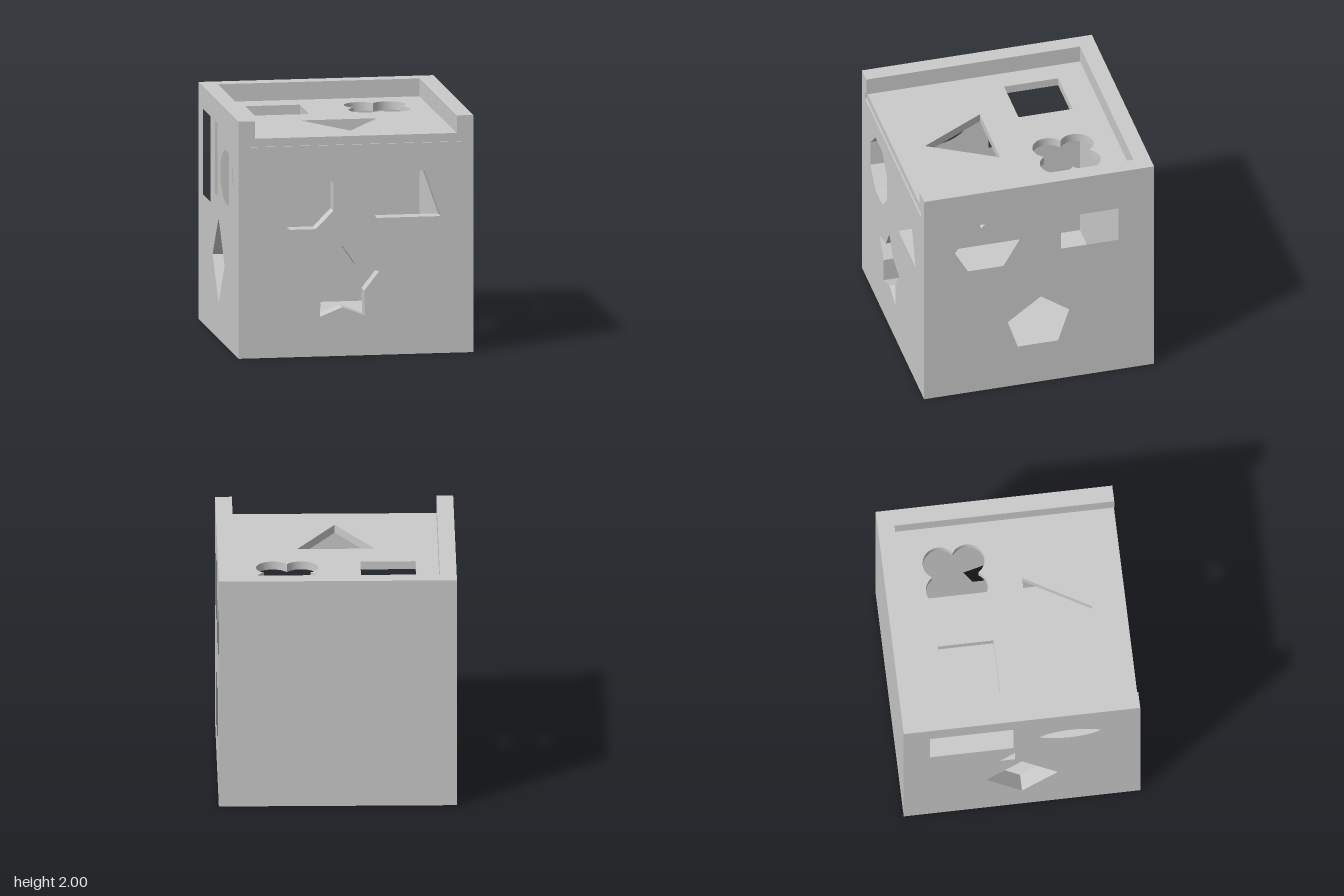
import * as THREE from 'three';
import { toCreasedNormals } from 'three/addons/utils/BufferGeometryUtils.js';

const OUT = 0.99, IN = 0.85, GROOVE = 0.89;      // outer face, inner face, lid groove
const LID_LOW = 1.78, LID_TOP = 1.85, FLOOR = 0.14, TOP = 2;

const rect = (a, b, c, d) => [[a, b], [c, b], [c, d], [a, d]];

function ellipse(cx, cy, rx, ry, n = 64) {
  return Array.from({ length: n }, (_, i) => {
    const t = i / n * Math.PI * 2;
    return [cx + rx * Math.cos(t), cy + ry * Math.sin(t)];
  });
}

// four overlapping circles, keeping only the outer arcs
function clover(cx, cy, off, r, n = 20) {
  const pts = [], over = Math.acos(off / r);     // half angle hidden by the neighbour
  for (let k = 0; k < 4; k++) {
    const mid = Math.PI / 4 + k * Math.PI / 2;
    const ox = cx + off * Math.SQRT2 * Math.cos(mid), oy = cy + off * Math.SQRT2 * Math.sin(mid);
    const half = Math.PI * 3 / 4 - over;
    for (let i = 0; i < n; i++) {
      const t = mid - half + 2 * half * i / n;
      pts.push([ox + r * Math.cos(t), oy + r * Math.sin(t)]);
    }
  }
  return pts;
}

const vectors = pts => pts.map(p => new THREE.Vector2(p[0], p[1]));

// plate lying in xy with cut-outs, from z = 0 to z = depth
function plate(outline, holes, depth) {
  const shape = new THREE.Shape(vectors(outline));
  holes.forEach(h => shape.holes.push(new THREE.Path(vectors(h))));
  const g = new THREE.ExtrudeGeometry(shape, { depth, bevelEnabled: false });
  return toCreasedNormals(g, 0.4);
}

export function createModel() {
  const group = new THREE.Group();
  group.name = 'shapeSorter';
  const grey = new THREE.MeshStandardMaterial({ color: 0xcacaca });
  grey.name = 'light grey';

  const add = (name, geometry) => {
    const m = new THREE.Mesh(geometry, grey);
    m.name = name;
    group.add(m);
    return m;
  };
  const box = (name, x0, x1, y0, y1, z0, z1) =>
    add(name, new THREE.BoxGeometry(x1 - x0, y1 - y0, z1 - z0))
      .position.set((x0 + x1) / 2, (y0 + y1) / 2, (z0 + z1) / 2);

  // side plate from (z, y) points, spanning x0 to x0 + depth
  const sidePlate = (name, outline, holes, x0, depth) => {
    const flip = pts => pts.map(([z, y]) => [-z, y]);
    const g = plate(flip(outline), holes.map(flip), depth);
    g.rotateY(Math.PI / 2).translate(x0, 0, 0);
    add(name, g);
  };

  // floor and back wall
  box('floor', -GROOVE, GROOVE, 0, FLOOR, -IN, IN);
  box('backWall', -GROOVE, GROOVE, 0, TOP, -OUT, -IN);

  // front wall: octagon, parallelogram and star
  const octagon = [[-0.56, 1.61], [-0.34, 1.61], [-0.19, 1.455], [-0.19, 1.225],
    [-0.34, 1.075], [-0.56, 1.075], [-0.72, 1.225], [-0.72, 1.455]];
  const parallelogram = [[0.03, 1.545], [0.58, 1.545], [0.715, 1.155], [0.17, 1.155]];
  const star = [[-0.115, 0.93], [0, 0.76], [0.195, 0.705], [0.07, 0.545], [0.075, 0.335],
    [-0.115, 0.41], [-0.305, 0.335], [-0.295, 0.545], [-0.425, 0.705], [-0.225, 0.76]];
  add('frontWall', plate(rect(-GROOVE, 0, GROOVE, LID_LOW), [octagon, parallelogram, star], OUT - IN)
    .translate(0, 0, IN));

  // side wall cut-outs as (z, y)
  const leftHoles = [
    [[0.585, 1.68], [0.28, 1.68], [0.13, 1.415], [0.28, 1.155], [0.585, 1.155], [0.73, 1.415]],
    rect(-0.71, 1.24, -0.19, 1.63),
    [[-0.015, 0.86], [-0.3, 0.655], [-0.19, 0.315], [0.16, 0.315], [0.27, 0.65]],
  ];
  const rightHoles = [
    ellipse(0.41, 1.428, 0.325, 0.228),
    rect(-0.77, 1.09, -0.06, 1.81),
    [[0, 1.02], [0.3, 0.665], [0, 0.31], [-0.3, 0.665]],
  ];

  // each side wall: outer panel, inner lining under the lid, rim above the lid
  for (const [side, s, holes] of [['left', 1, leftHoles], ['right', -1, rightHoles]]) {
    const start = (a, b) => (s > 0 ? a : -b);
    sidePlate(side + 'Wall', rect(-OUT, 0, OUT, TOP), holes, start(GROOVE, OUT), OUT - GROOVE);
    const clipped = holes.map(h => h.map(([z, y]) => [z, Math.min(y, LID_LOW - 0.005)]));
    sidePlate(side + 'Lining', rect(-IN, FLOOR, IN, LID_LOW), clipped, start(IN, GROOVE), GROOVE - IN);
    const x0 = start(IN, GROOVE);
    box(side + 'Rim', x0, x0 + GROOVE - IN, LID_TOP, TOP, -IN, OUT);
  }

  // sliding lid: square, clover and triangle, drawn as (x, -z)
  const lidHoles = [
    rect(-0.66, 0.145, -0.2, 0.61),
    clover(0.412, 0.393, 0.118, 0.14),
    [[-0.325, -0.155], [0.32, -0.155], [0, -0.715]],
  ];
  add('slidingLid', plate(rect(-GROOVE, -0.977, GROOVE, IN), lidHoles, LID_TOP - LID_LOW)
    .rotateX(-Math.PI / 2).translate(0, LID_LOW, 0));

  return group;
}
